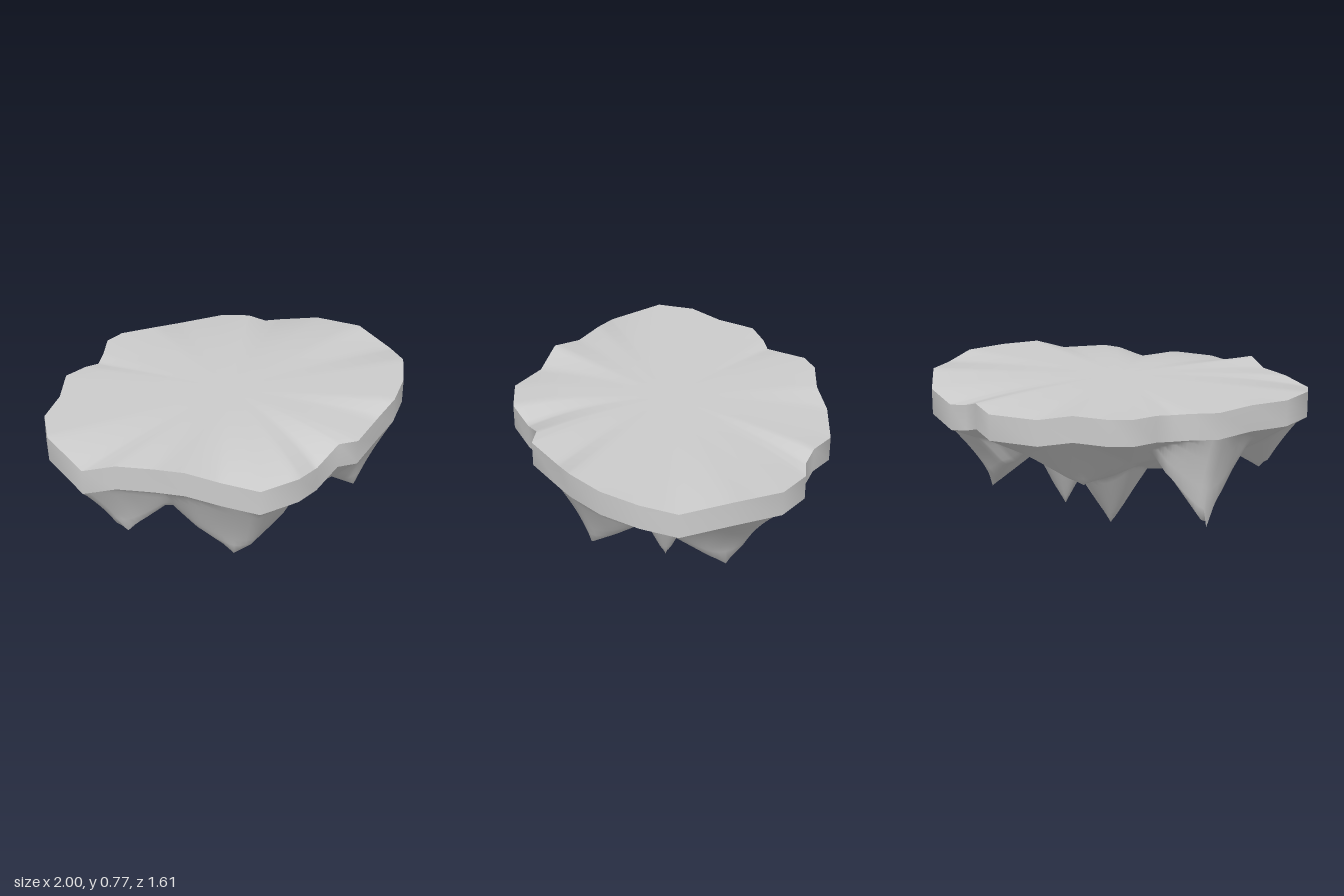
import * as THREE from 'three';

// Rim outline: x, z, top height
const RIM = [
  [-1, 0, .775], [-.94, -.19, .775], [-.8, -.33, .775], [-.69, -.51, .775],
  [-.56, -.555, .77], [-.48, -.57, .76], [-.42, -.64, .77], [-.345, -.755, .775],
  [-.24, -.795, .775], [-.05, -.78, .77], [.12, -.81, .74], [.38, -.79, .735],
  [.5, -.69, .75], [.58, -.64, .72], [.67, -.63, .71], [.84, -.5, .74],
  [.96, -.25, .775], [1, 0, .745], [.96, .18, .775], [.84, .36, .775],
  [.69, .5, .775], [.55, .56, .735], [.35, .69, .735], [.25, .67, .735],
  [.1, .72, .675], [-.05, .8, .705], [-.26, .8, .7], [-.4, .665, .715],
  [-.55, .59, .775], [-.65, .46, .75], [-.8, .35, .75], [-.94, .27, .72],
];
const WALL = .133;

// Hanging spikes: x, y, z of the tip, radial slope, sideways slope,
// and the curve of the outer face (1 straight, lower is more hollow)
const SPIKES = [
  [.33, 0, .03, 1.9, 1.9, 1], [-.05, .045, -.27, 1.5, 1.6, 1],
  [-.26, .165, .54, .42, .85, .8], [-.61, .15, -.42, 1.2, 1.6, .6],
  [.63, .16, -.26, .85, .85, .65], [.53, .25, .41, .6, .8, .8],
  [-.7, .265, .24, .6, 1.1, .75], [0, .33, -.52, .4, .45, .9],
  [.12, .36, .48, .3, .3, 1],
];

// Rim with each side split into equal steps
function fineRim(split) {
  const out = [];
  RIM.forEach((a, i) => {
    const b = RIM[(i + 1) % RIM.length];
    for (let k = 0; k < split; k++) out.push(a.map((v, j) => v + (b[j] - v) * k / split));
  });
  return out;
}

// Surface through equal loops of [x, y, z] points, closed around
function skin(loops, flip) {
  const n = loops[0].length, idx = [];
  for (let r = 0; r < loops.length - 1; r++) {
    for (let i = 0; i < n; i++) {
      const a = r * n + i, b = r * n + (i + 1) % n, c = a + n, d = b + n;
      if (flip) idx.push(a, b, c, b, d, c);
      else idx.push(a, c, b, b, c, d);
    }
  }
  const g = new THREE.BufferGeometry();
  g.setAttribute('position', new THREE.Float32BufferAttribute(loops.flat(2), 3));
  g.setIndex(idx);
  g.computeVertexNormals();
  return g;
}

export function createModel() {
  const group = new THREE.Group();
  const mat = new THREE.MeshStandardMaterial({ color: 0xcccccc, side: THREE.DoubleSide });
  const add = (name, geo) => {
    const m = new THREE.Mesh(geo, mat);
    m.name = name;
    group.add(m);
  };
  const rim = fineRim(5);

  // Ground: level in the middle, dipping gently to the uneven edge
  const ground = [];
  for (let k = 0; k <= 12; k++) {
    const t = Math.max(1 - k / 12, .001);
    ground.push(rim.map(([x, z, y]) => [x * t, .772 + (y - .772) * t ** 3, z * t]));
  }
  add('groundTop', skin(ground, true));

  // Cliff band around the edge
  add('cliffEdge', skin([0, WALL].map(d => RIM.map(([x, z, y]) => [x, y - d, z])), false));

  // Position of each tip as a fraction of the rim radius
  const tips = SPIKES.map(([x, y, z, sr, st, curve]) => {
    const ang = Math.atan2(z, x), r = Math.hypot(x, z);
    const facing = p => (p[0] * x + p[1] * z) / Math.hypot(p[0], p[1]);
    const best = rim.reduce((a, b) => (facing(b) > facing(a) ? b : a));
    return { x, y, z, r, sr, st, curve, ang, t: r / Math.hypot(best[0], best[1]) };
  });

  // Rock height: sloping base cut by the lowest of the spike cones
  function rockY(x, z, t, bottom, R) {
    const outer = Math.min((1 - t) / .25, 1);
    const core = THREE.MathUtils.clamp((.75 - t) / .3, 0, 1);
    let y = bottom + (.48 - bottom) * outer - .12 * core;
    for (const p of tips) {
      const side = (x * Math.sin(p.ang) - z * Math.cos(p.ang)) * p.st;
      const along = x * Math.cos(p.ang) + z * Math.sin(p.ang) - p.r;
      let rise = Math.abs(along) * p.sr;
      if (t > p.t && along > -p.r) {
        const toRim = (bottom - p.y) * ((t - p.t) / (1 - p.t)) ** p.curve;
        rise = Math.max((t - p.t) * R * p.sr, toRim);
      }
      y = Math.min(y, p.y + Math.hypot(rise, side));
    }
    return t === 1 ? bottom : y;
  }

  // Rocky underside
  const rock = [], rings = 40;
  for (let k = 0; k <= rings; k++) {
    const t = Math.max(1 - k / rings, .001);
    rock.push(rim.map(([x, z, y]) =>
      [x * t, rockY(x * t, z * t, t, y - WALL, Math.hypot(x, z)), z * t]));
  }
  // Pull the nearest point onto each tip so it stays sharp
  const inner = rock.slice(1).flat();
  for (const p of tips) {
    const near = inner.reduce((a, b) =>
      Math.hypot(b[0] - p.x, b[2] - p.z) < Math.hypot(a[0] - p.x, a[2] - p.z) ? b : a);
    near.splice(0, 3, p.x, p.y, p.z);
  }
  add('rockUnderside', skin(rock, false));
  return group;
}
